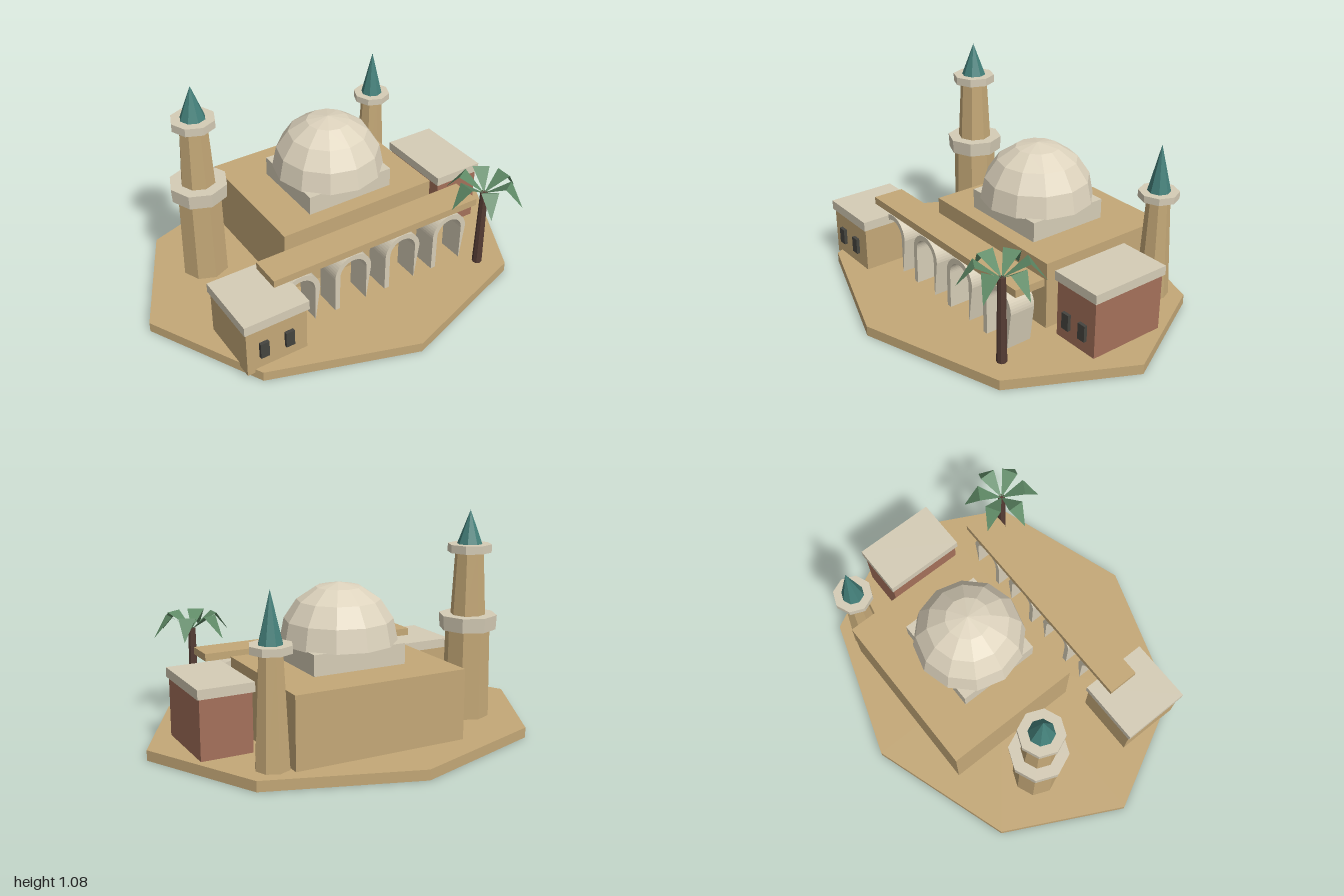
import * as THREE from 'three';

const mat = (color, side = THREE.FrontSide) =>
  new THREE.MeshStandardMaterial({ color, flatShading: true, side });

export function createModel() {
  const sand = mat(0xc4a877), stone = mat(0xd5ccb6), domeStone = mat(0xddd3bd);
  const brick = mat(0xa4705a), teal = mat(0x44807a), dark = mat(0x45443f);
  const bark = mat(0x553c34), leaf = mat(0x5f8a66, THREE.DoubleSide);

  const model = new THREE.Group();
  model.name = 'domedCourtyard';

  const group = (name, parent = model) => {
    const g = new THREE.Group();
    g.name = name;
    parent.add(g);
    return g;
  };
  const add = (parent, name, geometry, material, x = 0, y = 0, z = 0) => {
    const m = new THREE.Mesh(geometry, material);
    m.name = name;
    m.position.set(x, y, z);
    parent.add(m);
    return m;
  };
  // box given by its extents
  const block = (parent, name, material, x0, x1, y0, y1, z0, z1) =>
    add(parent, name, new THREE.BoxGeometry(x1 - x0, y1 - y0, z1 - z0), material,
      (x0 + x1) / 2, (y0 + y1) / 2, (z0 + z1) / 2);
  // eight-sided tapered column given by its bottom and top
  const column = (parent, name, material, r0, r1, y0, y1, sides = 8) =>
    add(parent, name, new THREE.CylinderGeometry(r1, r0, y1 - y0, sides), material, 0, (y0 + y1) / 2, 0);

  // octagonal ground slab
  const base = column(model, 'groundSlab', sand, 1, 1, 0, 0.05);
  base.scale.z = 0.805;

  // prayer hall with drum and faceted dome
  const hall = group('hall');
  block(hall, 'hallBody', sand, -0.345, 0.52, 0.03, 0.39, -0.56, 0.157);
  block(hall, 'domeDrum', stone, -0.15, 0.325, 0.39, 0.49, -0.35, 0.075);
  add(hall, 'dome', new THREE.SphereGeometry(0.281, 12, 4, 0, Math.PI * 2, 0, Math.PI / 2),
    domeStone, 0.088, 0.487, -0.137);
  const underside = add(hall, 'domeUnderside', new THREE.CircleGeometry(0.281, 12), domeStone, 0.088, 0.487, -0.137);
  underside.rotation.x = Math.PI / 2;

  // towers
  const tall = group('tallTower');
  tall.position.set(-0.58, 0, -0.245);
  column(tall, 'lowerShaft', sand, 0.117, 0.11, 0.03, 0.495);
  column(tall, 'lowerBalcony', stone, 0.14, 0.144, 0.495, 0.567);
  column(tall, 'upperShaft', sand, 0.086, 0.07, 0.567, 0.875);
  column(tall, 'upperBalcony', stone, 0.108, 0.108, 0.875, 0.915);
  column(tall, 'spire', teal, 0.062, 0, 0.915, 1.08);

  const short = group('shortTower');
  short.position.set(0.587, 0, -0.468);
  column(short, 'shaft', sand, 0.082, 0.056, 0.03, 0.565);
  column(short, 'balcony', stone, 0.098, 0.098, 0.565, 0.6);
  column(short, 'spire', teal, 0.056, 0, 0.6, 0.833);

  // side houses: body, overhanging roof, front windows
  const house = (name, wall, x0, x1, z0, z1, eave, top, windows) => {
    const g = group(name);
    block(g, 'walls', wall, x0, x1, 0.03, eave, z0, z1);
    block(g, 'roof', stone, x0 - 0.01, x1 + 0.01, eave, top, z0 - 0.01, z1 + 0.01);
    for (const x of windows)
      block(g, 'window', dark, x - 0.022, x + 0.022, 0.115, 0.197, z1 - 0.01, z1 + 0.017);
  };
  house('leftHouse', brick, 0.585, 0.835, -0.257, 0.146, 0.335, 0.381, [0.655, 0.763]);
  house('rightHouse', sand, -0.765, -0.455, 0.2, 0.532, 0.277, 0.325, [-0.68, -0.55]);

  // arcade: four open arches under a roof slab
  const arcade = group('arcade');
  block(arcade, 'arcadeRoof', sand, -0.55, 0.615, 0.355, 0.392, 0.252, 0.412);
  const spring = 0.237, bottom = 0.04, outer = 0.102, inner = 0.075;
  const profile = new THREE.Shape();
  profile.moveTo(outer, bottom);
  profile.absarc(0, spring, outer, 0, Math.PI, false);
  profile.lineTo(-outer, bottom);
  profile.lineTo(-inner, bottom);
  profile.absarc(0, spring, inner, Math.PI, 0, true);
  profile.lineTo(inner, bottom);
  const archGeometry = new THREE.ExtrudeGeometry(profile, { depth: 0.132, bevelEnabled: false, curveSegments: 12 });
  for (let i = 0; i < 4; i++)
    add(arcade, 'arch', archGeometry, stone, -0.401 + i * 0.2885, 0, 0.267);

  // palm: trunk and six fronds folded across the middle
  const palm = group('palm');
  palm.position.set(0.6, 0, 0.475);
  column(palm, 'trunk', bark, 0.025, 0.019, 0.03, 0.475);
  const frond = new THREE.BufferGeometry();
  frond.setAttribute('position', new THREE.Float32BufferAttribute([
    0, 0.47, 0, 0.118, 0.55, 0.043, 0.118, 0.55, -0.043, 0.197, 0.445, 0], 3));
  frond.setIndex([0, 1, 2, 1, 3, 2]);
  frond.computeVertexNormals();
  for (let i = 0; i < 6; i++)
    add(palm, 'frond', frond, leaf).rotation.y = i * Math.PI / 3;

  return model;
}
